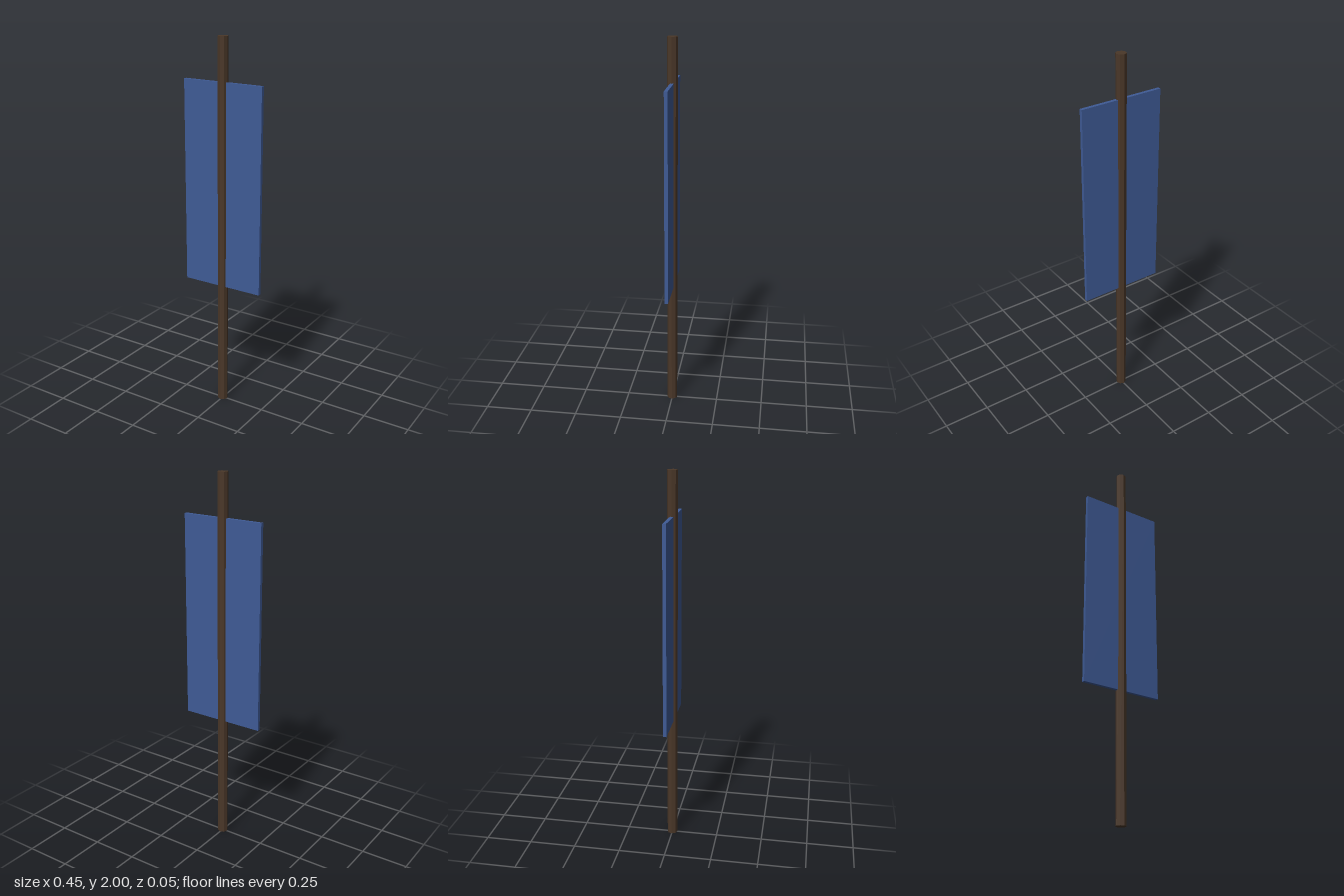
import * as THREE from 'three';

export function createModel() {
  const model = new THREE.Group();
  model.name = 'bannerOnPole';

  const add = (name, geometry, color, y) => {
    const material = new THREE.MeshStandardMaterial({ color, flatShading: true });
    const mesh = new THREE.Mesh(geometry, material);
    mesh.name = name;
    mesh.position.y = y;
    model.add(mesh);
  };

  // Eight-sided wooden pole
  add('pole', new THREE.CylinderGeometry(0.0273, 0.0273, 2, 8), 0x4a3728, 1);

  // Thin cloth panel, with the pole running through its middle
  add('banner', new THREE.BoxGeometry(0.4545, 1.091, 0.0182), 0x3f5b96, 1.23);

  return model;
}
